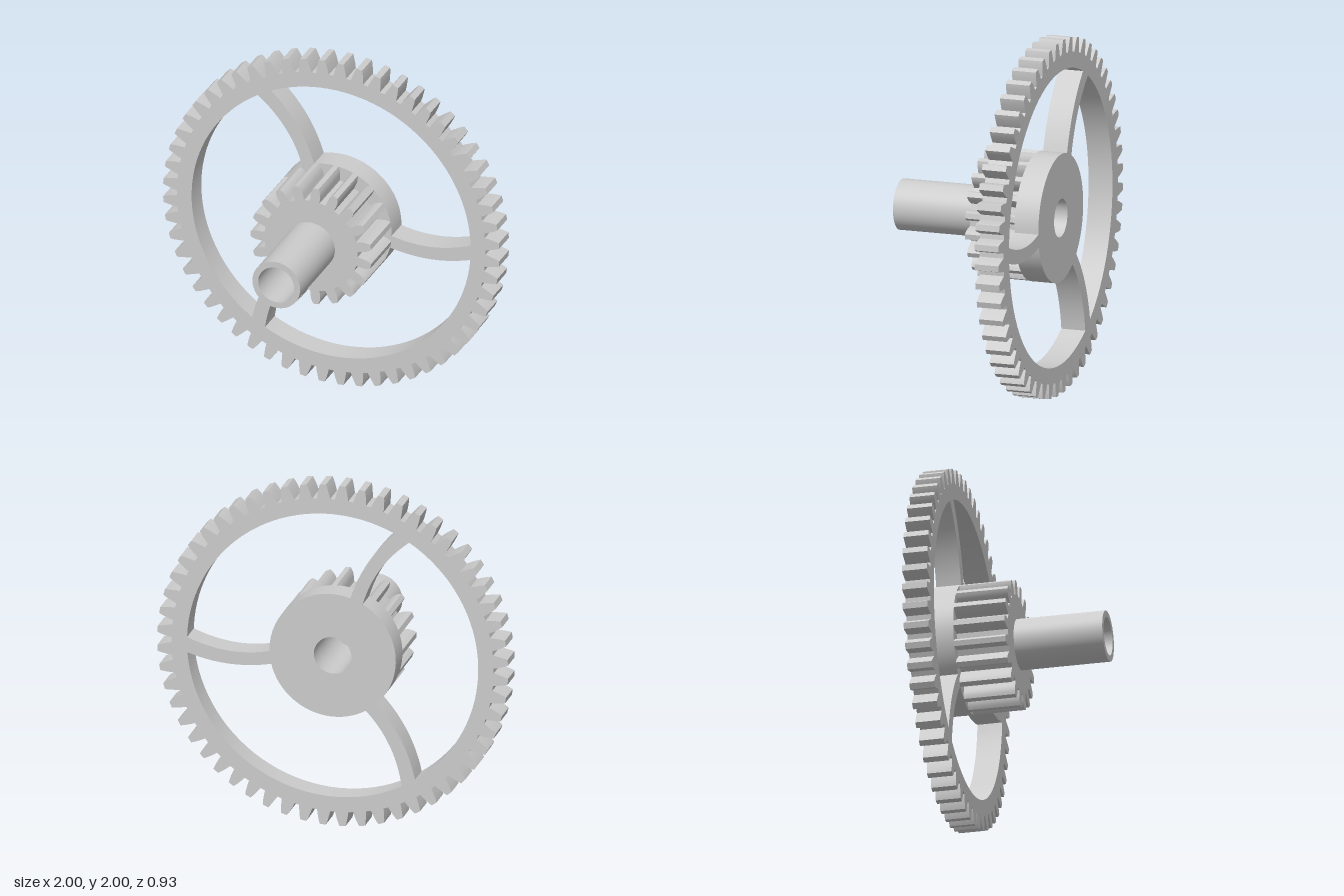
import * as THREE from 'three';
import { toCreasedNormals } from 'three/addons/utils/BufferGeometryUtils.js';

const V = (x, y) => new THREE.Vector2(x, y);
const polar = (r, a) => V(r * Math.cos(a), r * Math.sin(a));
const arc = (r, a0, a1, n) =>
  Array.from({ length: n + 1 }, (_, i) => polar(r, a0 + (a1 - a0) * i / n));
const circle = (r, n = 64) => arc(r, 0, Math.PI * 2, n).slice(0, n);

// Gear outline; flank is a list of [radius, half angle] from root to tip
function gearOutline(teeth, phase, flank) {
  const points = [];
  for (let i = 0; i < teeth; i++) {
    const a = phase + i * Math.PI * 2 / teeth;
    for (const [r, h] of flank) points.push(polar(r, a - h));
    for (const [r, h] of [...flank].reverse()) points.push(polar(r, a + h));
  }
  return points;
}

export function createModel() {
  const group = new THREE.Group();
  const material = new THREE.MeshStandardMaterial({ color: 0xcccccc });
  const boreRadius = 0.107;

  // Extrudes an outline with holes between two z positions
  function addPart(name, outline, holes, z0, z1) {
    const shape = new THREE.Shape(outline);
    shape.holes = holes.map((h) => new THREE.Path(h));
    const geometry = new THREE.ExtrudeGeometry(shape, { depth: z1 - z0, bevelEnabled: false });
    geometry.translate(0, 1, z0);
    const mesh = new THREE.Mesh(toCreasedNormals(geometry, 0.4), material);
    mesh.name = name;
    group.add(mesh);
  }

  // Windows between the three curved spokes
  const hubRadius = 0.36, rimRadius = 0.83, third = Math.PI * 2 / 3;
  const hubAngles = { upper: -0.028, lower: -0.238 };
  const rimAngles = { upper: 0.03, lower: -0.078 };
  const spokeEdge = (side, controlY) => new THREE.QuadraticBezierCurve(
    polar(hubRadius, hubAngles[side]), V(0.595, controlY), polar(rimRadius, rimAngles[side])
  ).getPoints(12);
  const upperEdge = spokeEdge('upper', -0.07);
  const lowerEdge = spokeEdge('lower', -0.141).reverse();
  const origin = V(0, 0);
  const windows = [0, 1, 2].map((i) => [
    ...upperEdge.slice(0, -1),
    ...arc(rimRadius, rimAngles.upper, third + rimAngles.lower, 32).slice(0, -1),
    ...lowerEdge.slice(0, -1).map((p) => p.clone().rotateAround(origin, third)),
    ...arc(hubRadius, third + hubAngles.lower, hubAngles.upper, 24).slice(0, -1),
  ].map((p) => p.clone().rotateAround(origin, i * third)));

  // Large spoked wheel
  const wheelFlank = [[0.918, 0.041], [0.94, 0.036], [0.965, 0.029], [0.985, 0.023], [1.0, 0.017]];
  addPart('spokedGearWheel', gearOutline(56, Math.PI / 56, wheelFlank),
    [...windows, circle(boreRadius)], -0.465, -0.325);

  // Small pinion in front of the hub
  const pinionFlank = [[0.278, 0.105], [0.29, 0.097], [0.308, 0.093],
    [0.328, 0.083], [0.345, 0.065], [0.36, 0.041]];
  addPart('pinion', gearOutline(19, Math.PI, pinionFlank), [circle(boreRadius)], -0.325, -0.035);

  // Hollow shaft and the pierced web inside its bore
  addPart('shaft', circle(0.142), [circle(boreRadius)], -0.035, 0.465);
  addPart('boreWeb', circle(boreRadius), [circle(0.048, 40)], -0.04, 0.04);

  return group;
}
